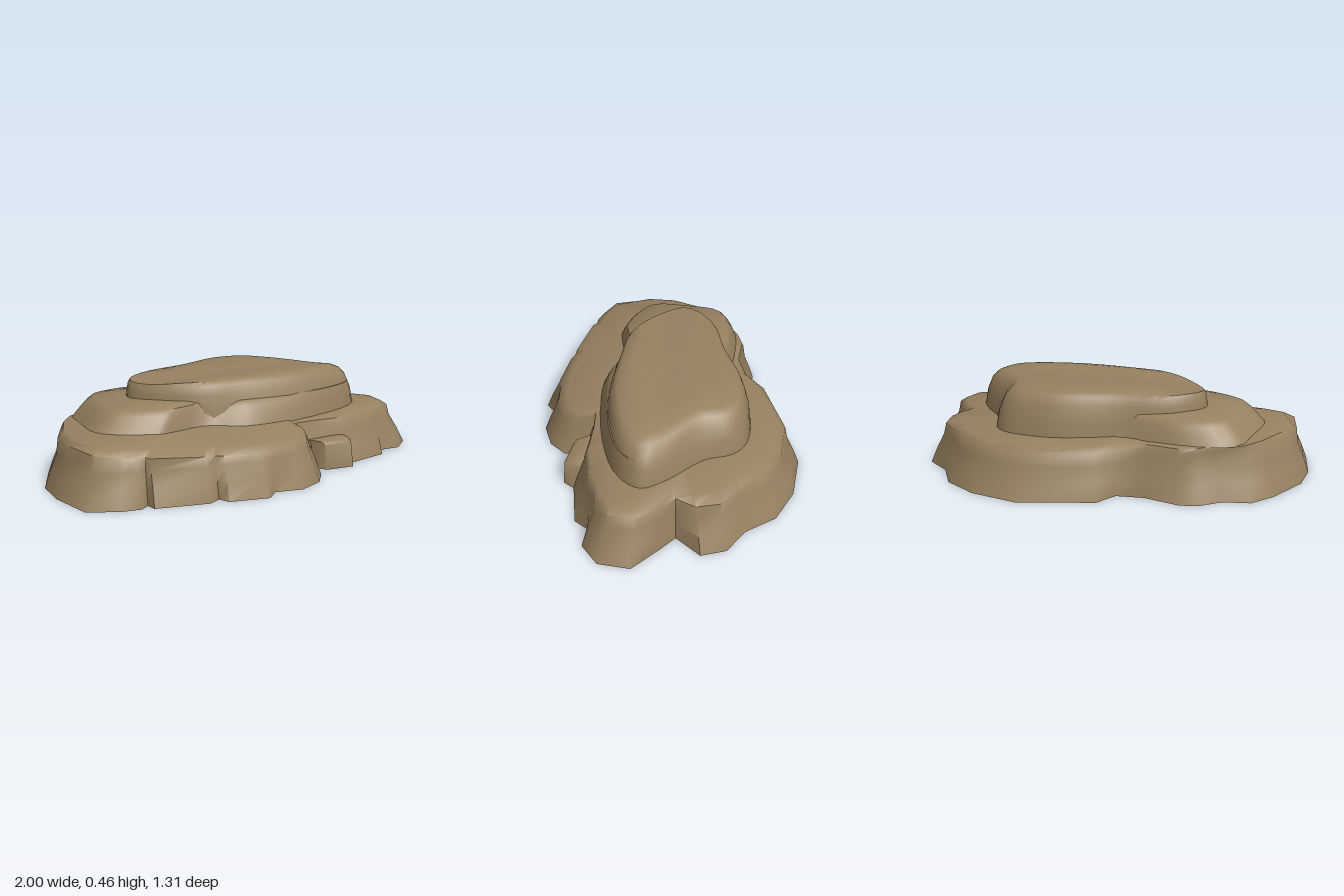
import * as THREE from 'three';
import { toCreasedNormals } from 'three/addons/utils/BufferGeometryUtils.js';

const rock = new THREE.MeshStandardMaterial({ color: 0x978160, side: THREE.DoubleSide });
rock.name = 'brown rock';

// Outlines as [x, z], running left, front, right, back.
const baseOutline = [
  [-1, .12], [-.97, .35], [-.84, .43], [-.75, .455], [-.705, .43],
  [-.70, .48], [-.46, .56], [-.40, .535], [-.38, .59], [-.20, .65], [-.13, .60],
  [0, .64], [.13, .60], [.21, .52], [.19, .42], [.28, .42], [.46, .455],
  [.70, .43], [.75, .37], [.86, .385], [.97, .31], [1, .16], [.89, .04], [.81, -.04],
  [.92, -.15], [.89, -.27], [.77, -.36], [.68, -.51], [.51, -.61], [.27, -.66],
  [-.09, -.56], [-.155, -.455], [-.29, -.44], [-.47, -.485], [-.56, -.46],
  [-.65, -.39], [-.78, -.365], [-.87, -.26], [-.98, -.05],
];
// Shoulder of the base, point for point above its outline
const shoulderOutline = [
  [-.93, .11], [-.90, .30], [-.80, .37], [-.74, .40], [-.70, .405],
  [-.685, .425], [-.45, .50], [-.40, .505], [-.365, .525], [-.19, .565], [-.12, .56],
  [0, .56], [.11, .52], [.17, .45], [.175, .36], [.28, .365], [.45, .39],
  [.64, .365], [.72, .335], [.80, .32], [.88, .26], [.905, .14], [.84, .03], [.775, -.04],
  [.83, -.13], [.81, -.24], [.71, -.33], [.62, -.45], [.47, -.54], [.26, -.58],
  [-.06, -.50], [-.17, -.42], [-.29, -.39], [-.45, -.42], [-.53, -.395],
  [-.61, -.34], [-.72, -.315], [-.81, -.22], [-.91, -.04],
];
const terraceOutline = [
  [-.78, .08], [-.70, .17], [-.55, .25], [-.50, .255], [-.26, .235], [-.10, .32], [.09, .335],
  [.45, .30], [.66, .22], [.72, .12], [.66, 0], [.52, -.16], [.42, -.36],
  [.20, -.38], [-.13, -.33], [-.30, -.36], [-.50, -.38], [-.70, -.32], [-.76, -.13],
];
const crownOutline = [
  [-.52, -.10], [-.47, .03], [-.27, .21], [-.09, .265], [.10, .30], [.35, .30],
  [.65, .225], [.735, .12], [.68, 0], [.545, -.17], [.50, -.31], [.42, -.38],
  [.24, -.41], [.12, -.40], [-.13, -.325], [-.39, -.25],
];
const slabOutline = [[.25, .41], [.285, .475], [.43, .505], [.465, .46], [.47, .41]];

// Closed smooth resampling of an outline
function smooth(outline, count) {
  const curve = new THREE.CatmullRomCurve3(
    outline.map(([x, z]) => new THREE.Vector3(x, 0, z)), true, 'centripetal');
  return curve.getPoints(count).slice(0, count).map(p => [p.x, p.z]);
}

// Moves each point of an outline toward the origin; slant makes +x move more
function inset(outline, d, slant = 0) {
  return outline.map(([x, z]) => {
    const s = 1 - d * Math.max(.4, 1 + slant * x) / Math.hypot(x, z);
    return [x * s, z * s];
  });
}

// Blends two outlines with matching points
function blend(a, b, t) {
  return a.map(([x, z], i) => [x + (b[i][0] - x) * t, z + (b[i][1] - z) * t]);
}

// Lifts an outline to a height, which may be a function of x and z
function lift(outline, height) {
  return outline.map(([x, z]) =>
    [x, typeof height === 'function' ? height(x, z) : height, z]);
}

// Skins a stack of rings, with an optional cap point
function loft(name, rings, cap) {
  const n = rings[0].length;
  const index = [];
  for (let r = 0; r < rings.length - 1; r++) {
    for (let i = 0; i < n; i++) {
      const j = (i + 1) % n, a = r * n + i, b = r * n + j;
      index.push(a, b, b + n, a, b + n, a + n);
    }
  }
  const points = rings.flat();
  if (cap) {
    const start = (rings.length - 1) * n;
    for (let i = 0; i < n; i++) index.push(start + i, start + (i + 1) % n, points.length);
    points.push(cap);
  }
  const geometry = new THREE.BufferGeometry();
  geometry.setAttribute('position', new THREE.Float32BufferAttribute(points.flat(), 3));
  geometry.setIndex(index);
  const mesh = new THREE.Mesh(toCreasedNormals(geometry, 0.9), rock);
  mesh.name = name;
  return mesh;
}

export function createModel() {
  const group = new THREE.Group();
  group.name = 'steppedRock';

  // Craggy base, open below, with a ledge running in to the terrace foot
  const footLine = smooth(terraceOutline, 300);
  const foot = shoulderOutline.map(([x, z]) => {
    const len = Math.hypot(x, z);
    const along = p => (p[0] * x + p[1] * z) / (len * Math.hypot(p[0], p[1]));
    return footLine.reduce((best, p) => (along(p) > along(best) ? p : best));
  });
  const rim = (x, z) =>
    .24 - .013 * x + .01 * x * x - .03 * Math.max(0, (z - .25) / .3);
  group.add(loft('baseRock', [
    lift(baseOutline, 0),
    lift(blend(baseOutline, shoulderOutline, .4), .08),
    lift(blend(baseOutline, shoulderOutline, .85), .155),
    lift(shoulderOutline, (x, z) => rim(x, z) - .025),
    lift(blend(shoulderOutline, foot, .2), rim),
    lift(inset(foot, .03), x => .25 - .02 * x),
  ]));

  // Small slab leaning on the front
  group.add(loft('frontSlab', [
    lift(slabOutline, 0),
    lift(inset(slabOutline, .015), .125),
    lift(inset(slabOutline, .035), .14),
  ], [.36, .145, .40]));

  // Middle terrace, widest toward -x
  const terrace = smooth(terraceOutline, 64);
  group.add(loft('middleTerrace', [
    lift(terrace, x => .24 - .02 * x),
    lift(inset(terrace, .022, -.8), .295),
    lift(inset(terrace, .045, -.8), .335),
    lift(inset(terrace, .065, -.8), .358),
    lift(terrace.map(([x, z]) => [x * .55, z * .55]), .37),
  ]));

  // Crown with a nearly flat top, steep at the -x end
  const crown = smooth(crownOutline, 64);
  const top = (x, z) => .456 - .045 * (x - .02) ** 2 + .004 * Math.cos(z * 22 + 2.8);
  group.add(loft('crown', [
    lift(crown, .235),
    lift(inset(crown, .01, 1.2), .32),
    lift(inset(crown, .028, 1.2), .39),
    lift(inset(crown, .046, 1.2), (x, z) => top(x, z) - .02),
    lift(inset(crown, .07, 1.2), (x, z) => top(x, z) - .003),
    ...[.6, .4, .2].map(s => lift(crown.map(([x, z]) => [x * s, z * s]), top)),
  ], [0, top(0, 0), 0]));

  return group;
}
